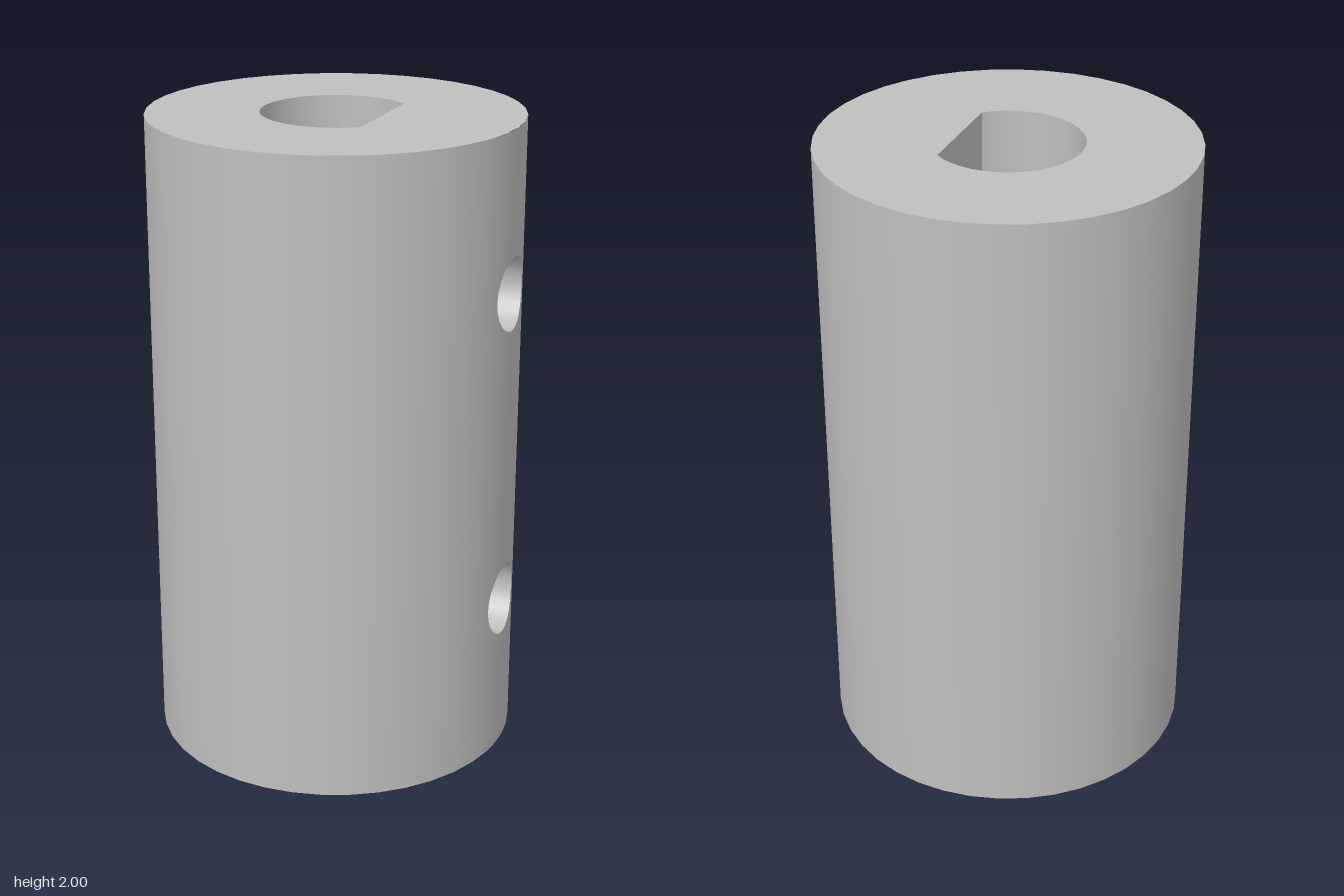
import * as THREE from 'three';
import { ParametricGeometry } from 'three/addons/geometries/ParametricGeometry.js';

const H = 2, R = 0.57, BORE = 0.228, FLAT = 0.15, HOLE = 0.115;
const PANEL = Math.PI / 10;                 // half angle of the drilled outer strip
const FLAT_ANGLE = Math.acos(FLAT / BORE);  // half angle of the flat in the bore

const outerX = (z) => Math.sqrt(R * R - z * z);
const flatX = () => FLAT;

// Round wall from angle a to b (measured from +x towards -z); swapping a and b faces it inwards
const roundWall = (r, a, b, segments) => new ParametricGeometry((u, v, p) => {
  const t = a + (b - a) * u;
  p.set(r * Math.cos(t), H * v, -r * Math.sin(t));
}, segments, 1);

// Half-height strip with a round hole in its middle, laid on the surface x = surfaceX(z)
const drilledPanel = (surfaceX, halfWidth, yc, side) => new ParametricGeometry((u, v, p) => {
  const t = u * Math.PI * 2, c = Math.cos(t), s = Math.sin(t);
  const m = Math.max(Math.abs(c), Math.abs(s));
  const z = side * THREE.MathUtils.lerp(HOLE * c, halfWidth * c / m, v);
  const y = THREE.MathUtils.lerp(HOLE * s, H / 4 * s / m, v);
  p.set(surfaceX(z), yc + y, z);
}, 24, 4);

// Screw hole running from the bore flat to the outer surface
const screwHole = (yc) => new ParametricGeometry((u, v, p) => {
  const t = u * Math.PI * 2, z = HOLE * Math.cos(t);
  p.set(THREE.MathUtils.lerp(FLAT, outerX(z), v), yc + HOLE * Math.sin(t), z);
}, 24, 1);

const arc = (r, a, b, n) => Array.from({ length: n + 1 }, (_, i) => {
  const t = a + (b - a) * i / n;
  return new THREE.Vector2(r * Math.cos(t), r * Math.sin(t));
});

export function createModel() {
  const group = new THREE.Group();
  const grey = new THREE.MeshStandardMaterial({ color: 0xbfbfbf });
  grey.name = 'grey metal';
  const add = (name, geometry) => {
    const mesh = new THREE.Mesh(geometry, grey);
    mesh.name = name;
    group.add(mesh);
    return mesh;
  };
  const full = Math.PI * 2;

  // Outer sleeve and D-shaped bore
  add('outerWall', roundWall(R, PANEL, full - PANEL, 36));
  add('boreWall', roundWall(BORE, full - FLAT_ANGLE, FLAT_ANGLE, 30));

  // Two set-screw holes, each through its own half of the wall
  for (const [name, yc] of [['lower', H / 4], ['upper', H * 3 / 4]]) {
    add(name + 'OuterPanel', drilledPanel(outerX, R * Math.sin(PANEL), yc, 1));
    add(name + 'BoreFlat', drilledPanel(flatX, BORE * Math.sin(FLAT_ANGLE), yc, -1));
    add(name + 'ScrewHole', screwHole(yc));
  }

  // Ring-shaped end faces
  const ring = new THREE.Shape(arc(R, 0, full, 40).slice(0, -1));
  ring.holes.push(new THREE.Path(arc(BORE, FLAT_ANGLE, full - FLAT_ANGLE, 30)));
  add('topFace', new THREE.ShapeGeometry(ring).rotateX(-Math.PI / 2)).position.y = H;
  add('bottomFace', new THREE.ShapeGeometry(ring).rotateX(Math.PI / 2));

  return group;
}
